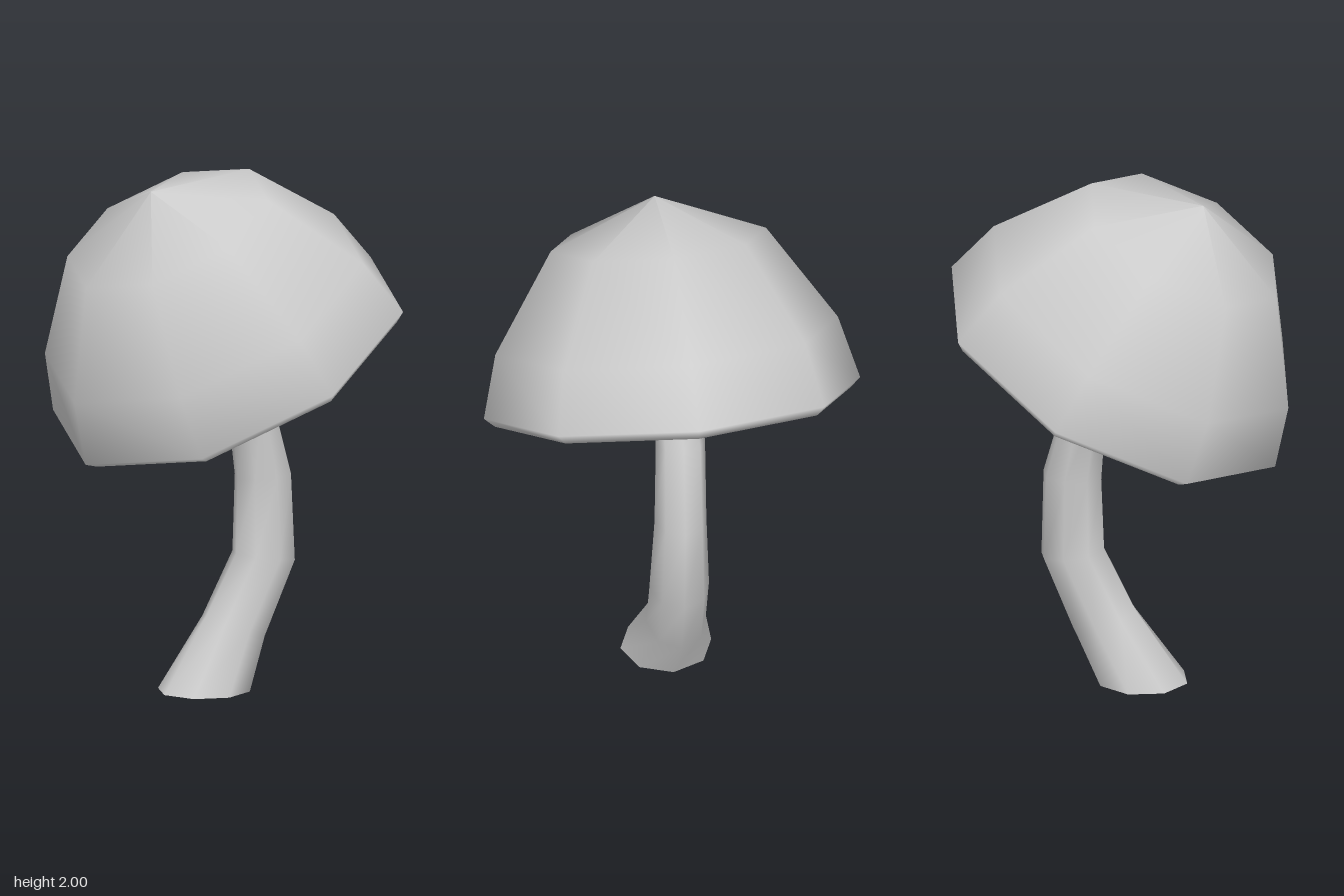
import * as THREE from 'three';

const SIDES = 8;

// Loft closed elliptical rings, each given by its left and right points in the xy plane plus a z centre and z radius.
function loftRings(rings) {
  const positions = [];
  const indices = [];
  for (const { left, right, z, rz } of rings) {
    const cx = (left[0] + right[0]) / 2, cy = (left[1] + right[1]) / 2;
    const hx = (right[0] - left[0]) / 2, hy = (right[1] - left[1]) / 2;
    for (let i = 0; i < SIDES; i++) {
      const a = (i / SIDES) * Math.PI * 2;
      positions.push(cx + hx * Math.cos(a), cy + hy * Math.cos(a), z + rz * Math.sin(a));
    }
  }
  for (let r = 0; r < rings.length - 1; r++) {
    for (let i = 0; i < SIDES; i++) {
      const a = r * SIDES + i, b = r * SIDES + (i + 1) % SIDES;
      indices.push(a, a + SIDES, b, b, a + SIDES, b + SIDES);
    }
  }
  const geometry = new THREE.BufferGeometry();
  geometry.setAttribute('position', new THREE.Float32BufferAttribute(positions, 3));
  geometry.setIndex(indices);
  geometry.computeVertexNormals();
  return geometry;
}

export function createModel() {
  const group = new THREE.Group();
  group.name = 'mushroom';
  const material = new THREE.MeshStandardMaterial({ color: 0xcccccc });

  // Cap: hollow underside, thin rim and dome, turned as one profile
  const profile = [
    [0, 0.33], [0.45, 0.2], [0.685, -0.02], [0.725, 0.015],
    [0.66, 0.257], [0.415, 0.63], [0, 0.8],
  ].map(([r, y]) => new THREE.Vector2(r, y));
  const cap = new THREE.Mesh(new THREE.LatheGeometry(profile, SIDES), material);
  cap.name = 'cap';
  cap.position.set(0.02, 1.25, 0);
  cap.rotation.set(0.01, 0, THREE.MathUtils.degToRad(27));
  group.add(cap);

  // Stem: curved, flaring at the foot, its top hidden in the cap
  const rings = [
    { left: [-0.28, 0], right: [0.08, 0], z: 0.005, rz: 0.175 },
    { left: [-0.08, 0.28], right: [0.17, 0.18], z: -0.01, rz: 0.115 },
    { left: [0.05, 0.51], right: [0.3, 0.47], z: 0, rz: 0.115 },
    { left: [0.06, 0.8], right: [0.29, 0.81], z: -0.005, rz: 0.1 },
    { left: [0.035, 1.11], right: [0.195, 1.14], z: -0.015, rz: 0.095 },
    { left: [-0.15, 1.52], right: [-0.03, 1.59], z: 0, rz: 0.075 },
  ];
  const stem = new THREE.Mesh(loftRings(rings), material);
  stem.name = 'stem';
  group.add(stem);

  // Flat sole closing the foot of the stem
  const sole = new THREE.Mesh(new THREE.CircleGeometry(1, SIDES), material);
  sole.name = 'stemBase';
  sole.rotation.x = Math.PI / 2;
  sole.scale.set(0.18, 0.175, 1);
  sole.position.set(-0.1, 0, 0.005);
  group.add(sole);

  return group;
}
